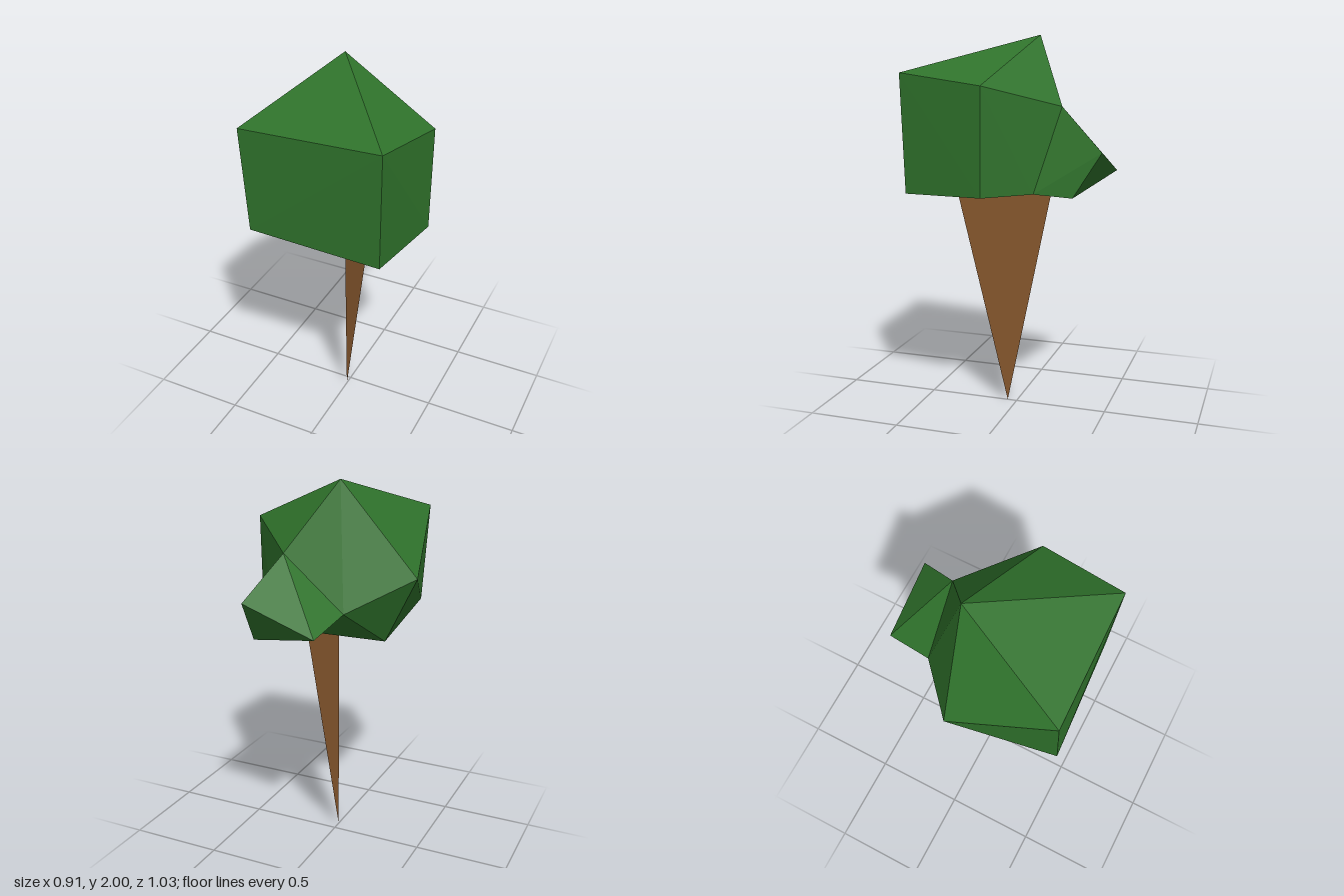
import * as THREE from 'three';
import { ConvexGeometry } from 'three/addons/geometries/ConvexGeometry.js';

const V = (x, y, z) => new THREE.Vector3(x, y, z);

function faceted(name, points, material) {
  const mesh = new THREE.Mesh(new ConvexGeometry(points), material);
  mesh.name = name;
  return mesh;
}

export function createModel() {
  const group = new THREE.Group();
  group.name = 'tree';
  const leaf = new THREE.MeshStandardMaterial({ color: 0x2f722b, flatShading: true });
  const bark = new THREE.MeshStandardMaterial({ color: 0x8b5a2f, flatShading: true, side: THREE.DoubleSide });

  // Triangle on the back of the crown, from which the side clump grows
  const joint = [V(0.145, 1.65, -0.285), V(-0.17, 1.37, -0.265), V(0.26, 1.22, -0.17)];

  // Main crown: a distorted twelve-point solid
  group.add(faceted('crown', [
    V(-0.08, 2, -0.105), // peak
    V(-0.335, 1.8, 0.503), V(0.385, 1.815, 0.485), V(0.455, 1.76, 0.035), V(-0.457, 1.52, -0.012), // upper ring
    V(-0.295, 1.27, 0.515), V(0.375, 1.21, 0.47), V(0.45, 1.22, 0.04), V(-0.27, 1.155, 0.04), // lower ring
    ...joint,
  ], leaf));

  // Smaller clump at the back
  group.add(faceted('backClump', [
    ...joint,
    V(0.255, 1.44, -0.515), V(-0.13, 1.305, -0.513), V(0.275, 1.213, -0.375),
  ], leaf));

  // Trunk: a flat blade tapering to a point at the ground
  const blade = new THREE.BufferGeometry().setFromPoints([
    V(0, 0, 0.052), V(0.055, 1.27, -0.222), V(0.118, 1.27, 0.31),
  ]);
  blade.computeVertexNormals();
  const trunk = new THREE.Mesh(blade, bark);
  trunk.name = 'trunk';
  group.add(trunk);

  return group;
}
